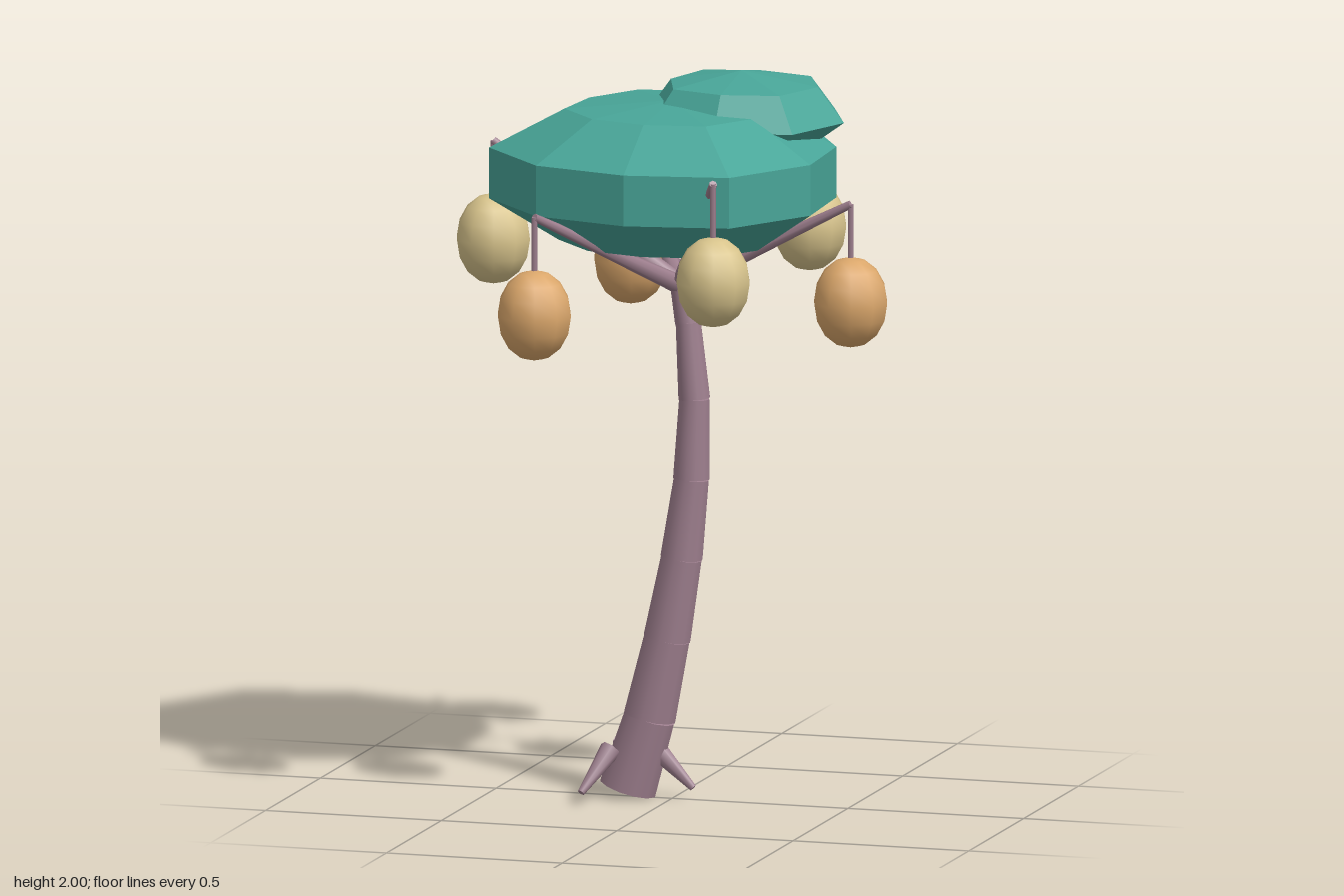
import * as THREE from 'three';

const bark = new THREE.MeshStandardMaterial({ color: 0x9e7f8e });
bark.name = 'mauve bark';
const leaf = new THREE.MeshStandardMaterial({ color: 0x48a598, flatShading: true });
leaf.name = 'teal foliage';
const paleFruit = new THREE.MeshStandardMaterial({ color: 0xd8c48c });
paleFruit.name = 'pale yellow fruit';
const orangeFruit = new THREE.MeshStandardMaterial({ color: 0xdba76b });
orangeFruit.name = 'orange fruit';

const V = (x, y, z) => new THREE.Vector3(x, y, z);

// Tapered cylinder running from a to b
function limb(name, a, b, r0, r1, sides) {
  const dir = b.clone().sub(a);
  const mesh = new THREE.Mesh(new THREE.CylinderGeometry(r1, r0, dir.length(), sides), bark);
  mesh.name = name;
  mesh.position.copy(a).add(b).multiplyScalar(0.5);
  mesh.quaternion.setFromUnitVectors(V(0, 1, 0), dir.normalize());
  return mesh;
}

// Faceted clump: rings of [y, radius], each radius scaled by a per-spoke factor.
// Spoke 0 points to the front and the spokes run towards +x.
function clump(name, cx, cz, topY, bottomY, rings, spokes) {
  const n = spokes.length;
  const pos = [];
  const index = [];
  pos.push(cx, topY, cz);
  for (const [y, r] of rings) {
    spokes.forEach((s, i) => {
      const a = (i / n) * Math.PI * 2;
      pos.push(cx + Math.sin(a) * r * s, y, cz + Math.cos(a) * r * s);
    });
  }
  pos.push(cx, bottomY, cz);
  const last = pos.length / 3 - 1;
  for (let i = 0; i < n; i++) {
    const j = (i + 1) % n;
    index.push(0, 1 + i, 1 + j);
    for (let k = 0; k < rings.length - 1; k++) {
      const u = 1 + k * n;
      const d = u + n;
      index.push(u + i, d + i, d + j, u + i, d + j, u + j);
    }
    index.push(last, last - n + j, last - n + i);
  }
  const geo = new THREE.BufferGeometry();
  geo.setAttribute('position', new THREE.Float32BufferAttribute(pos, 3));
  geo.setIndex(index);
  geo.computeVertexNormals();
  const mesh = new THREE.Mesh(geo, leaf);
  mesh.name = name;
  return mesh;
}

export function createModel() {
  const tree = new THREE.Group();
  tree.name = 'fruitTree';

  // Curved trunk of stacked tapering segments: [x, y, radius]
  const trunk = new THREE.Group();
  trunk.name = 'trunk';
  const joints = [
    [-0.125, 0.025, 0.08], [-0.063, 0.225, 0.073], [-0.014, 0.445, 0.066], [0.027, 0.67, 0.059],
    [0.055, 0.89, 0.051], [0.063, 1.11, 0.044], [0.046, 1.32, 0.037], [0.024, 1.44, 0.033],
  ];
  for (let i = 0; i < joints.length - 1; i++) {
    const [x0, y0, r0] = joints[i];
    const [x1, y1, r1] = joints[i + 1];
    trunk.add(limb('trunkSegment', V(x0, y0, 0), V(x1, y1, 0), r0, r1 - 0.002, 12));
  }
  tree.add(trunk);

  // Three splayed roots
  for (let i = 0; i < 3; i++) {
    const a = (i / 3) * Math.PI * 2;
    const c = Math.cos(a);
    const s = Math.sin(a);
    tree.add(limb('root', V(-0.12 + 0.07 * c, 0.14, 0.07 * s),
      V(-0.12 + 0.18 * c, 0.033, 0.18 * s), 0.03, 0.01, 7));
  }

  // Main canopy and the smaller clump on top
  tree.add(clump('mainCanopy', 0, 0, 1.93, 1.5,
    [[1.907, 0.27], [1.8, 0.46], [1.66, 0.46], [1.545, 0.285]],
    [0.96, 1.05, 1.0, 0.97, 1.04, 1.02, 1.08, 1.02, 1.08, 1.0]));
  tree.add(clump('topCanopy', 0.16, -0.12, 2.0, 1.77,
    [[1.965, 0.205], [1.87, 0.275], [1.805, 0.19]],
    [0.93, 1.08, 1.06, 1.04, 0.94, 1.08, 0.98, 1.02]));

  // Six branches, each with a hanging fruit, alternating high pale and low orange
  for (let i = 0; i < 6; i++) {
    const a = (i / 6) * Math.PI * 2;
    const x = 0.508 * Math.cos(a);
    const z = 0.508 * Math.sin(a);
    const high = i % 2 === 1;
    const tipY = high ? 1.79 : 1.67;
    const fruitY = high ? 1.52 : 1.4;
    tree.add(limb('branch', V(0.025, 1.42, 0), V(x, tipY, z), 0.027, 0.011, 7));
    tree.add(limb('stem', V(x, fruitY + 0.11, z), V(x, tipY, z), 0.008, 0.008, 6));
    const fruit = new THREE.Mesh(new THREE.SphereGeometry(0.104, 10, 8), high ? paleFruit : orangeFruit);
    fruit.name = 'fruit';
    fruit.scale.y = 1.2;
    fruit.position.set(x, fruitY, z);
    tree.add(fruit);
  }
  return tree;
}
